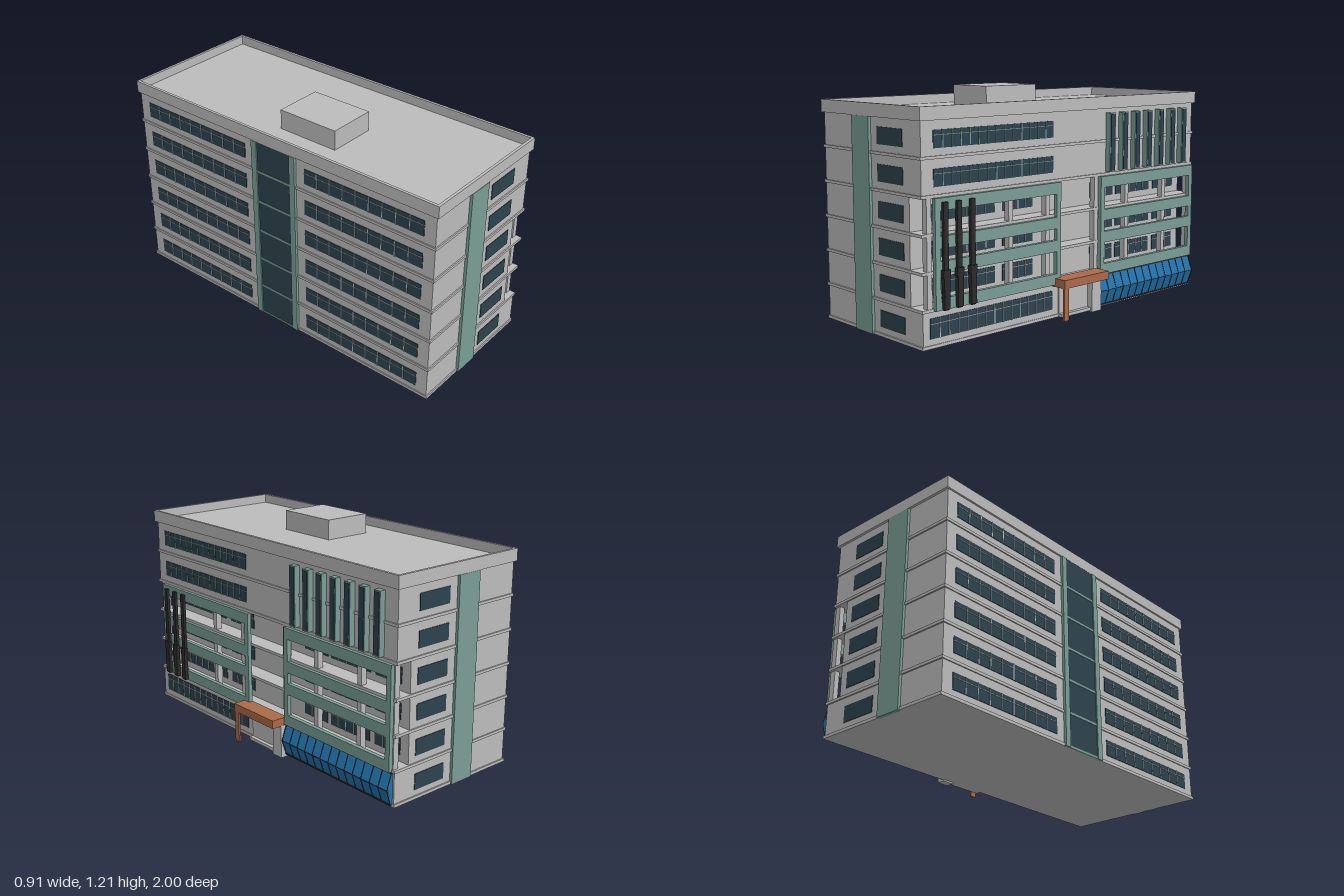
import * as THREE from 'three';

const paint = (name, color) => {
  const m = new THREE.MeshStandardMaterial({ color });
  m.name = name;
  return m;
};

export function createModel() {
  const wall = paint('pale grey wall', 0xbcbcbd);
  const teal = paint('muted teal', 0x7a9e95);
  const glass = paint('dark glass', 0x2d424c);
  const blue = paint('blue glass', 0x2173ab);
  const clay = paint('terracotta', 0xab6a48);
  const black = paint('charcoal', 0x2c2a2a);

  const model = new THREE.Group();
  model.name = 'officeBuilding';
  const group = (name) => {
    const g = new THREE.Group();
    g.name = name;
    model.add(g);
    return g;
  };
  // box given by its limits on each axis
  const box = (parent, name, mat, x0, x1, y0, y1, z0, z1) => {
    const m = new THREE.Mesh(new THREE.BoxGeometry(x1 - x0, y1 - y0, z1 - z0), mat);
    m.position.set((x0 + x1) / 2, (y0 + y1) / 2, (z0 + z1) / 2);
    m.name = name;
    parent.add(m);
    return m;
  };
  // ribbon of panes on a wall facing +x (dir 1) or -x (dir -1)
  const ribbon = (parent, x, dir, y0, y1, z0, z1, panes, bars) => {
    const slab = (name, mat, d, a, b, c, e) =>
      box(parent, name, mat, Math.min(x, x + dir * d), Math.max(x, x + dir * d), a, b, c, e);
    slab('windowGlass', glass, 0.003, y0, y1, z0, z1);
    const step = (z1 - z0) / panes;
    for (let i = 1; i < panes; i++) {
      slab('mullion', bars, 0.006, y0, y1, z0 + i * step - 0.002, z0 + i * step + 0.002);
    }
    const t = y0 + (y1 - y0) * 0.72;
    slab('transom', bars, 0.005, t - 0.0015, t + 0.0015, z0, z1);
  };

  const FLOOR = 0.18;
  const sill = (f) => 0.055 + f * FLOOR;

  // main volumes: the middle three floors are set back on the +x side
  const body = group('body');
  box(body, 'groundFloor', wall, -0.44, 0.36, 0.008, 0.2, -0.985, 0.985);
  box(body, 'middleFloors', wall, -0.44, 0.268, 0.2, 0.725, -0.985, 0.985);
  box(body, 'upperFloors', wall, -0.44, 0.36, 0.725, 1.1, -0.985, 0.985);

  // floor bands, which also form the gallery floors
  const bands = group('floorBands');
  box(bands, 'floorBand', wall, -0.446, 0.364, 0.008, 0.024, -0.992, 0.992);
  for (let f = 1; f < 6; f++) {
    const y = 0.005 + f * FLOOR;
    box(bands, 'floorBand', wall, -0.446, 0.366, y, y + 0.015, -0.992, 0.992);
  }

  // parapet and roof hut
  const roof = group('roof');
  box(roof, 'parapetSide', wall, -0.45, -0.435, 1.085, 1.15, -0.998, 0.998);
  box(roof, 'parapetSide', wall, 0.36, 0.375, 1.085, 1.15, -0.998, 0.998);
  box(roof, 'parapetEnd', wall, -0.435, 0.36, 1.085, 1.15, 0.983, 0.998);
  box(roof, 'parapetEnd', wall, -0.435, 0.36, 1.085, 1.15, -0.998, -0.983);
  box(roof, 'roofHut', wall, -0.285, -0.015, 1.1, 1.207, -0.09, 0.265);

  // both end walls: teal strip and one window per floor
  for (const s of [1, -1]) {
    const end = group(s > 0 ? 'frontWall' : 'backWall');
    const lo = (d) => Math.min(s * 0.98, s * d);
    const hi = (d) => Math.max(s * 0.98, s * d);
    box(end, 'tealStrip', teal, -0.175, -0.032, 0.008, 1.085, lo(1), hi(1));
    for (let f = 0; f < 6; f++) {
      box(end, 'endWindow', glass, 0.02, 0.222, sill(f), sill(f) + 0.085, lo(0.988), hi(0.988));
    }
  }

  // -x wall: ribbon windows either side of a glazed stair strip
  const left = group('leftWall');
  for (let f = 0; f < 6; f++) {
    for (const s of [1, -1]) {
      ribbon(left, -0.44, -1, sill(f), sill(f) + 0.085, s > 0 ? 0.2 : -0.92, s > 0 ? 0.92 : -0.2, 9, wall);
    }
    box(left, 'stairTransom', teal, -0.451, -0.44, f * FLOOR + 0.008, f * FLOOR + 0.02, -0.11, 0.11);
  }
  box(left, 'stairGlass', glass, -0.449, -0.44, 0.01, 1.085, -0.11, 0.11);
  box(left, 'stairPier', teal, -0.455, -0.44, 0.008, 1.085, -0.145, -0.11);
  box(left, 'stairPier', teal, -0.455, -0.44, 0.008, 1.085, 0.11, 0.145);

  // +x wall: ribbon windows of the ground and the top two floors
  const right = group('rightWall');
  ribbon(right, 0.36, 1, 0.055, 0.155, 0.145, 0.945, 14, wall);
  for (const f of [4, 5]) ribbon(right, 0.36, 1, sill(f), sill(f) + 0.085, 0.142, 0.914, 14, teal);

  // slender projecting bays on the top floors
  const bays = group('projectingBays');
  for (let i = 0; i < 7; i++) {
    const z = -0.276 - i * 0.1005;
    box(bays, 'bay', teal, 0.36, 0.392, 0.745, 1.062, z - 0.021, z + 0.021);
    box(bays, 'bayGlass', glass, 0.392, 0.395, 0.752, 1.055, z - 0.016, z + 0.016);
  }

  // gallery: columns and windows on the recessed wall
  const gallery = group('gallery');
  for (const z of [0.945, 0.435, 0.18, -0.18, -0.425, -0.74, -0.965]) {
    box(gallery, 'column', wall, 0.33, 0.363, 0.2, 0.725, z - 0.014, z + 0.014);
  }
  for (let f = 1; f < 4; f++) {
    for (const [z0, z1, n] of [[0.46, 0.89, 7], [0.2, 0.41, 4], [-0.41, -0.23, 3], [-0.72, -0.435, 5], [-0.93, -0.755, 3]]) {
      ribbon(gallery, 0.268, 1, sill(f), sill(f) + 0.085, z0, z1, n, wall);
    }
  }

  // teal screens in front of the gallery
  const screens = group('tealScreens');
  for (const [z0, z1] of [[0.105, 0.925], [-0.973, -0.196]]) {
    for (const [y0, y1] of [[0.19, 0.248], [0.365, 0.425], [0.485, 0.545], [0.665, 0.725]]) {
      box(screens, 'screenRail', teal, 0.362, 0.385, y0, y1, z0 + 0.03, z1 - 0.03);
    }
    box(screens, 'screenPost', teal, 0.362, 0.385, 0.19, 0.725, z0, z0 + 0.03);
    box(screens, 'screenPost', teal, 0.362, 0.385, 0.19, 0.725, z1 - 0.03, z1);
  }

  // dark vertical fins
  const fins = group('fins');
  for (const z of [0.873, 0.791, 0.709]) {
    box(fins, 'fin', black, 0.383, 0.4, 0.19, 0.705, z - 0.014, z + 0.014);
    box(fins, 'finLower', black, 0.383, 0.405, 0.195, 0.345, z - 0.017, z + 0.017);
    box(fins, 'finCollar', black, 0.383, 0.405, 0.345, 0.385, z - 0.021, z + 0.021);
  }

  // folded blue glazing with dark ribs
  const glazing = group('foldedGlazing');
  const fold = (name, mat, grow, z0, z1) => {
    const s = new THREE.Shape();
    s.moveTo(0.355, 0.022 - grow);
    s.lineTo(0.37 + grow, 0.022 - grow);
    s.lineTo(0.397 + grow, 0.1);
    s.lineTo(0.367 + grow, 0.182 + grow);
    s.lineTo(0.355, 0.182 + grow);
    const geo = new THREE.ExtrudeGeometry(s, { depth: z1 - z0, bevelEnabled: false });
    const m = new THREE.Mesh(geo, mat);
    m.position.z = z0;
    m.name = name;
    glazing.add(m);
  };
  fold('bluePanes', blue, 0, -0.975, -0.19);
  for (let i = 0; i <= 13; i++) {
    const z = -0.973 + i * 0.06;
    fold('rib', black, 0.002, z - 0.002, z + 0.002);
  }
  box(glazing, 'foldBar', black, 0.394, 0.399, 0.0985, 0.1015, -0.975, -0.19);
  box(glazing, 'topBar', black, 0.36, 0.371, 0.18, 0.187, -0.975, -0.19);
  box(glazing, 'bottomBar', black, 0.36, 0.374, 0.016, 0.023, -0.975, -0.19);

  // entrance: door panel, side wall, step and canopy on one leg
  const entrance = group('entrance');
  box(entrance, 'doorPanel', wall, 0.36, 0.368, 0.024, 0.18, -0.115, 0.1);
  box(entrance, 'sideWall', wall, 0.355, 0.4, 0, 0.182, -0.188, -0.118);
  box(entrance, 'step', wall, 0.355, 0.39, 0.008, 0.026, -0.118, 0.1);
  box(entrance, 'canopy', clay, 0.36, 0.455, 0.18, 0.225, -0.187, 0.145);
  box(entrance, 'canopyLeg', clay, 0.442, 0.452, 0.008, 0.18, 0.112, 0.145);
  for (const z of [0.055, -0.09]) box(entrance, 'lamp', black, 0.405, 0.425, 0.174, 0.18, z - 0.01, z + 0.01);

  return model;
}
